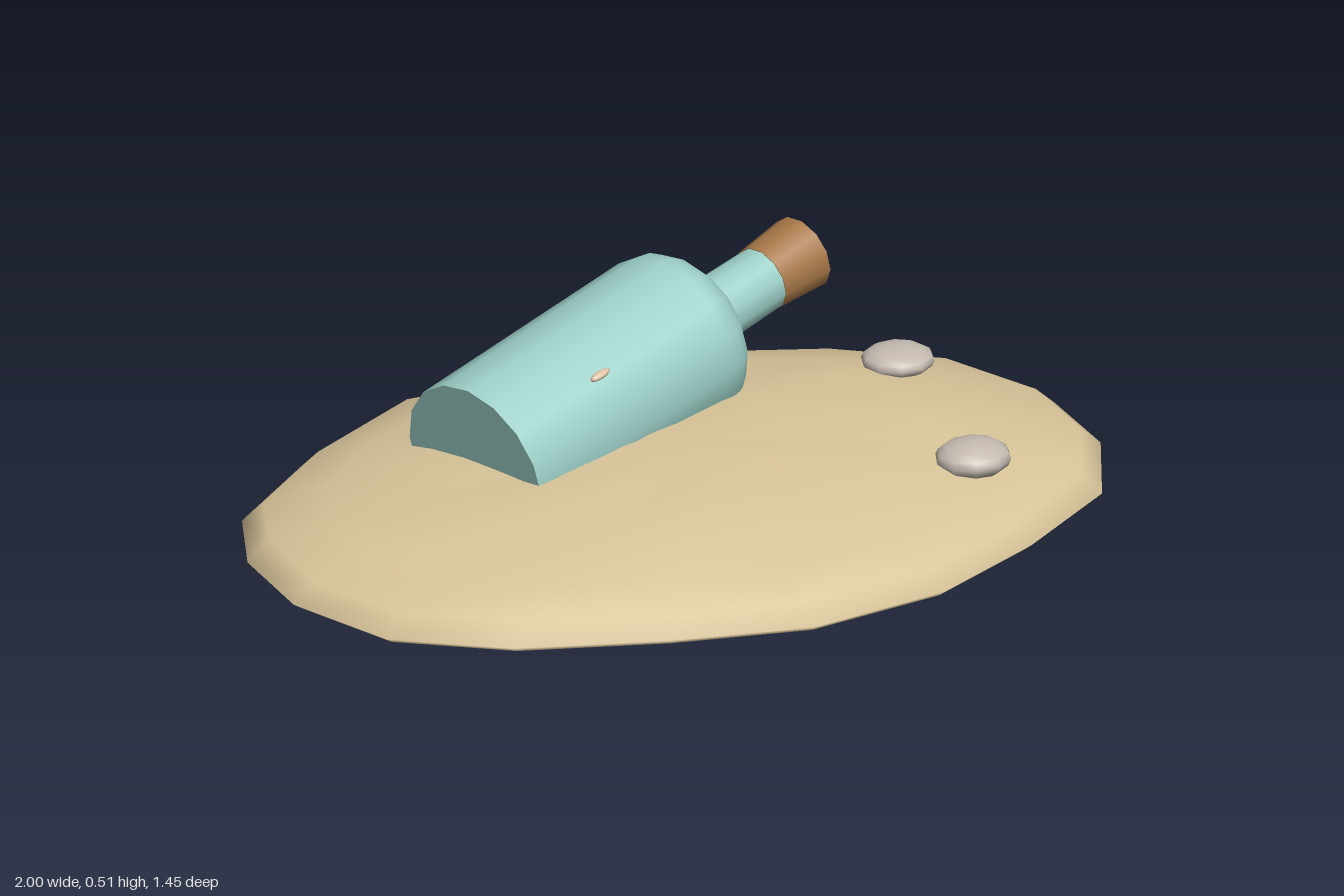
import * as THREE from 'three';

const material = (name, color) => {
  const m = new THREE.MeshStandardMaterial({ color });
  m.name = name;
  return m;
};

function part(parent, name, geometry, mat, x = 0, y = 0, z = 0) {
  const mesh = new THREE.Mesh(geometry, mat);
  mesh.name = name;
  mesh.position.set(x, y, z);
  parent.add(mesh);
  return mesh;
}

// Irregular shoreline of the mound, as x and z
const SHORE = [
  [0.995, -0.14], [0.99, 0.1], [0.87, 0.35], [0.61, 0.53], [0.32, 0.675], [-0.02, 0.72],
  [-0.34, 0.645], [-0.67, 0.53], [-0.9, 0.36], [-1, 0.1], [-0.99, -0.15], [-0.9, -0.36],
  [-0.66, -0.56], [-0.35, -0.72], [0, -0.73], [0.32, -0.7], [0.66, -0.55], [0.89, -0.4],
];
// Mound cross-section: shoreline scale and height
const RINGS = [[0.98, 0.062], [1, 0.075], [0.95, 0.122], [0.81, 0.155], [0.6, 0.198], [0.3, 0.222], [0, 0.226]];

function moundGeometry() {
  const n = SHORE.length, points = [], index = [];
  RINGS.forEach(([scale, y], i) => SHORE.forEach(([x, z], j) => {
    const bump = i > 1 && i < 6 ? 0.006 * Math.sin(j * 2.3 + i * 1.7) : 0;
    points.push(x * scale, y + bump, z * scale);
  }));
  for (let i = 0; i < RINGS.length - 1; i++) {
    for (let j = 0; j < n; j++) {
      const a = i * n + j, b = i * n + (j + 1) % n;
      index.push(a, a + n, b);
      if (i < RINGS.length - 2) index.push(b, a + n, b + n);
    }
  }
  // Share one normal at the summit
  const top = (RINGS.length - 1) * n;
  const merged = index.map((k) => (k >= top ? top : k));
  const g = new THREE.BufferGeometry();
  g.setAttribute('position', new THREE.Float32BufferAttribute(points, 3));
  g.setIndex(merged);
  g.computeVertexNormals();
  return g;
}

function undersideGeometry() {
  const [scale] = RINGS[0];
  const outline = SHORE.map(([x, z]) => new THREE.Vector2(x * scale, z * scale));
  return new THREE.ShapeGeometry(new THREE.Shape(outline)).rotateX(Math.PI / 2);
}

export function createModel() {
  const model = new THREE.Group();
  model.name = 'bottleOnSand';
  const sand = material('sand', 0xd9c59a);
  const glass = material('seaGlass', 0x9ccfc7);
  const corkBrown = material('corkBrown', 0xa87848);
  const stone = material('stone', 0xc4bab0);
  const paper = material('paper', 0xe0c4a8);

  // Sand mound with a flat underside
  part(model, 'sandMound', moundGeometry(), sand);
  part(model, 'sandUnderside', undersideGeometry(), sand, 0, RINGS[0][1], 0);

  // Bottle, built upright from its base and then laid over
  const bottle = new THREE.Group();
  bottle.name = 'bottle';
  bottle.position.set(-0.43, 0.198, -0.145);
  const axis = new THREE.Vector3(0.975, 0.19, -0.345).normalize();
  bottle.quaternion.setFromUnitVectors(new THREE.Vector3(0, 1, 0), axis);
  model.add(bottle);

  part(bottle, 'bottleBody', new THREE.CylinderGeometry(0.202, 0.202, 0.63, 16), glass, 0, 0.315, 0);
  const dome = new THREE.SphereGeometry(0.202, 16, 6, 0, Math.PI * 2, 0, Math.PI / 2);
  part(bottle, 'bottleShoulder', dome.scale(1, 0.62, 1), glass, 0, 0.63, 0);
  part(bottle, 'bottleNeck', new THREE.CylinderGeometry(0.075, 0.078, 0.24, 12), glass, 0, 0.82, 0);
  part(bottle, 'cork', new THREE.CylinderGeometry(0.088, 0.077, 0.13, 12), corkBrown, 0, 0.985, 0);

  // Edge of the paper scroll showing at the glass
  const scroll = part(model, 'paperScroll', new THREE.SphereGeometry(1, 10, 6), paper, -0.155, 0.392, -0.08);
  scroll.quaternion.setFromUnitVectors(new THREE.Vector3(1, 0, 0), axis);
  scroll.scale.set(0.03, 0.009, 0.011);

  // Pebbles: position, then radii
  for (const [x, y, z, rx, ry, rz] of [
    [0.67, 0.195, -0.265, 0.084, 0.032, 0.08],
    [0.592, 0.185, 0.268, 0.088, 0.042, 0.08],
  ]) {
    part(model, 'pebble', new THREE.SphereGeometry(1, 10, 8).scale(rx, ry, rz), stone, x, y, z);
  }
  return model;
}
